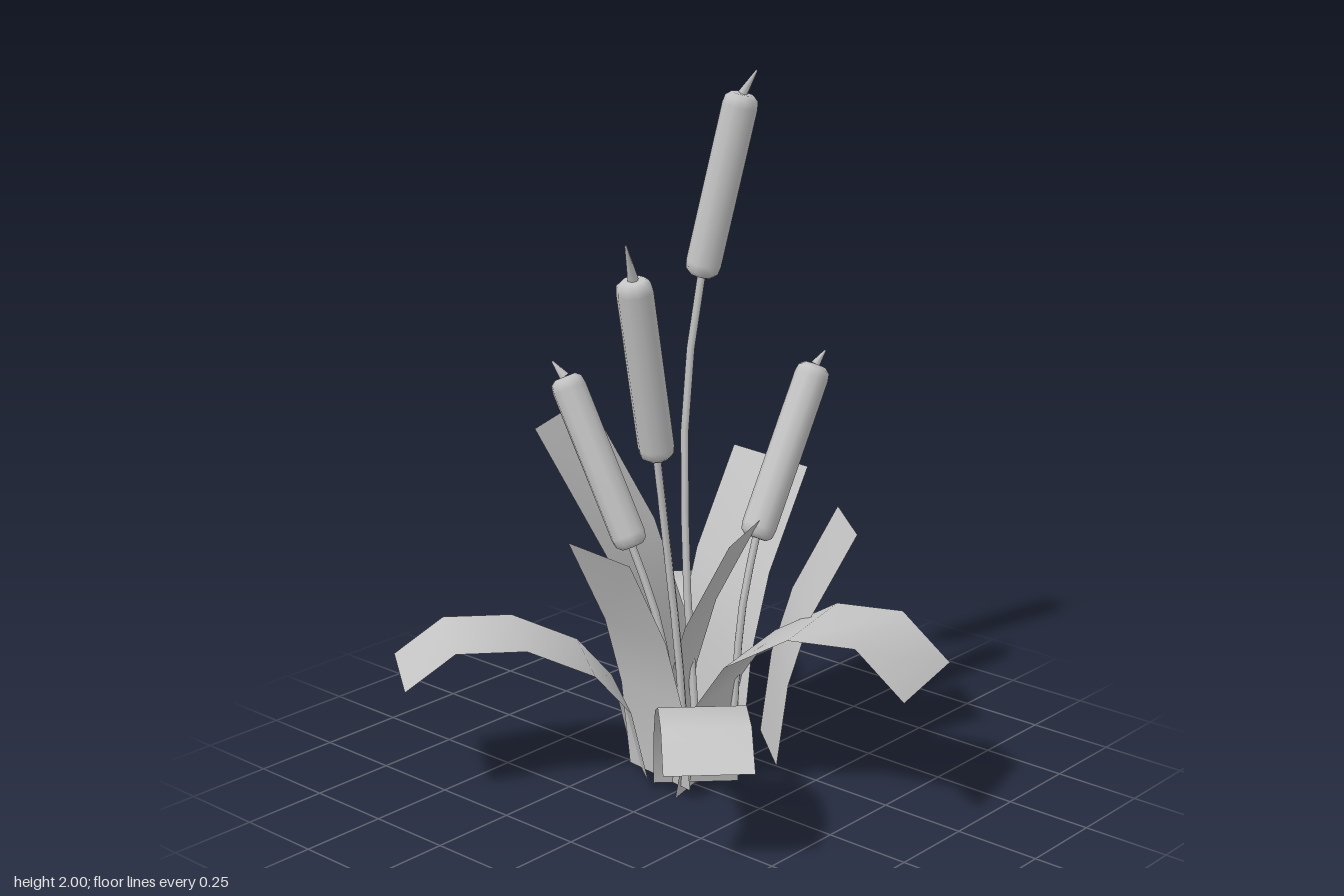
import * as THREE from 'three';

const plantGrey = new THREE.MeshStandardMaterial({ color: 0xc4c4c4, side: THREE.DoubleSide });
plantGrey.name = 'plantGrey';

// Side profiles of a leaf: [fraction outward, fraction of height]
const ARCH = [[0, 0], [0.07, 0.49], [0.22, 0.77], [0.5, 0.98], [0.79, 1], [1, 0.77]];
const UPRIGHT = [[0, 0], [0.14, 0.36], [0.41, 0.645], [1, 1]];

// Leaf strip of even width, from base [x, z] to tip [x, z], between two heights
function leaf(name, profile, base, tip, width, low, high) {
  const dx = tip[0] - base[0], dz = tip[1] - base[1];
  const len = Math.hypot(dx, dz);
  const sx = (-dz / len) * width / 2, sz = (dx / len) * width / 2;
  const pos = [], index = [];
  profile.forEach(([s, h], i) => {
    const x = base[0] + dx * s, z = base[1] + dz * s, y = low + (high - low) * h;
    pos.push(x - sx, y, z - sz, x + sx, y, z + sz);
    if (i > 0) {
      const a = 2 * i - 2;
      index.push(a, a + 2, a + 1, a + 1, a + 2, a + 3);
    }
  });
  const geo = new THREE.BufferGeometry();
  geo.setAttribute('position', new THREE.Float32BufferAttribute(pos, 3));
  geo.setIndex(index);
  geo.computeVertexNormals();
  const mesh = new THREE.Mesh(geo, plantGrey);
  mesh.name = name;
  return mesh;
}

// Place a lathe-type geometry so that its y axis runs from a to b
function along(name, geo, a, b) {
  const mesh = new THREE.Mesh(geo, plantGrey);
  mesh.position.copy(a);
  mesh.quaternion.setFromUnitVectors(new THREE.Vector3(0, 1, 0), b.clone().sub(a).normalize());
  mesh.name = name;
  return mesh;
}

// Reed: bent stem, sausage-shaped seed head and a pointed tip
function reed(name, stemPoints, headBottom, headTop, tip) {
  const group = new THREE.Group();
  group.name = name;
  const v = (p) => new THREE.Vector3(...p);
  const a = v(headBottom), b = v(headTop), c = v(tip);
  const path = new THREE.CatmullRomCurve3([...stemPoints.map(v), a.clone().lerp(b, 0.05)]);
  const stem = new THREE.Mesh(new THREE.TubeGeometry(path, 6, 0.012, 5), plantGrey);
  stem.name = 'stem';

  const len = a.distanceTo(b), r = 0.05;
  const headProfile = [[0, 0], [0.032, 0], [0.046, 0.012], [r, 0.035], [r, len - 0.035],
    [0.046, len - 0.012], [0.032, len], [0, len]].map((p) => new THREE.Vector2(...p));
  const head = along('seedHead', new THREE.LatheGeometry(headProfile, 10), a, b);

  const tipLen = b.distanceTo(c);
  const spike = new THREE.CylinderGeometry(0.003, 0.015, tipLen, 6);
  spike.translate(0, tipLen / 2, 0);
  group.add(stem, head, along('tip', spike, b, c));
  return group;
}

export function createModel() {
  const model = new THREE.Group();
  model.name = 'reedClump';

  // Drooping leaves
  model.add(
    leaf('archedLeafBackRight', ARCH, [-0.04, -0.175], [-0.588, -0.575], 0.297, 0.03, 0.465),
    leaf('archedLeafBackLeft', ARCH, [0.19, -0.22], [0.585, -0.615], 0.24, 0.03, 0.385),
    leaf('archedLeafFrontRight', ARCH, [-0.035, 0.041], [-0.428, 0.434], 0.24, 0.03, 0.385),
    leaf('archedLeafFront', ARCH, [0.05, -0.01], [0.215, 0.655], 0.327, 0, 0.55),
  );

  // Upright leaves
  model.add(
    leaf('uprightLeafBack', UPRIGHT, [0.11, -0.15], [-0.015, -0.49], 0.36, 0.03, 1.015),
    leaf('uprightLeafFrontLeft', UPRIGHT, [0.23, 0.088], [0.4, 0.23], 0.26, 0.06, 0.745),
    leaf('uprightLeafLeft', UPRIGHT, [0.2, -0.125], [0.455, -0.1], 0.305, 0.05, 0.858),
    leaf('uprightLeafRight', UPRIGHT, [-0.075, -0.06], [-0.29, -0.085], 0.26, 0.03, 0.75),
    leaf('uprightLeafMiddle', UPRIGHT, [0.03, -0.11], [0.107, 0.097], 0.25, 0.03, 0.75),
  );

  // Reeds
  model.add(
    reed('tallReed', [[0.11, 0.05, -0.08], [0.135, 0.6, -0.145], [0.18, 1.1, -0.183]],
      [0.22, 1.425, -0.165], [0.29, 1.935, -0.075], [0.308, 2.0, -0.04]),
    reed('rightReed', [[-0.07, 0.05, 0.04], [-0.09, 0.4, 0.03], [-0.12, 0.75, 0.012]],
      [-0.15, 1.01, 0.005], [-0.258, 1.52, 0.02], [-0.303, 1.62, 0.037]),
    reed('backReed', [[0, 0.05, -0.06], [0, 0.3, -0.09], [-0.015, 0.5, -0.13]],
      [-0.042, 0.685, -0.19], [-0.085, 1.15, -0.405], [-0.1, 1.192, -0.438]),
    reed('leftReed', [[0.175, 0.05, 0], [0.185, 0.3, 0.005], [0.205, 0.5, 0.012]],
      [0.245, 0.685, 0.02], [0.482, 1.15, 0.04], [0.515, 1.188, 0.05]),
  );
  return model;
}
